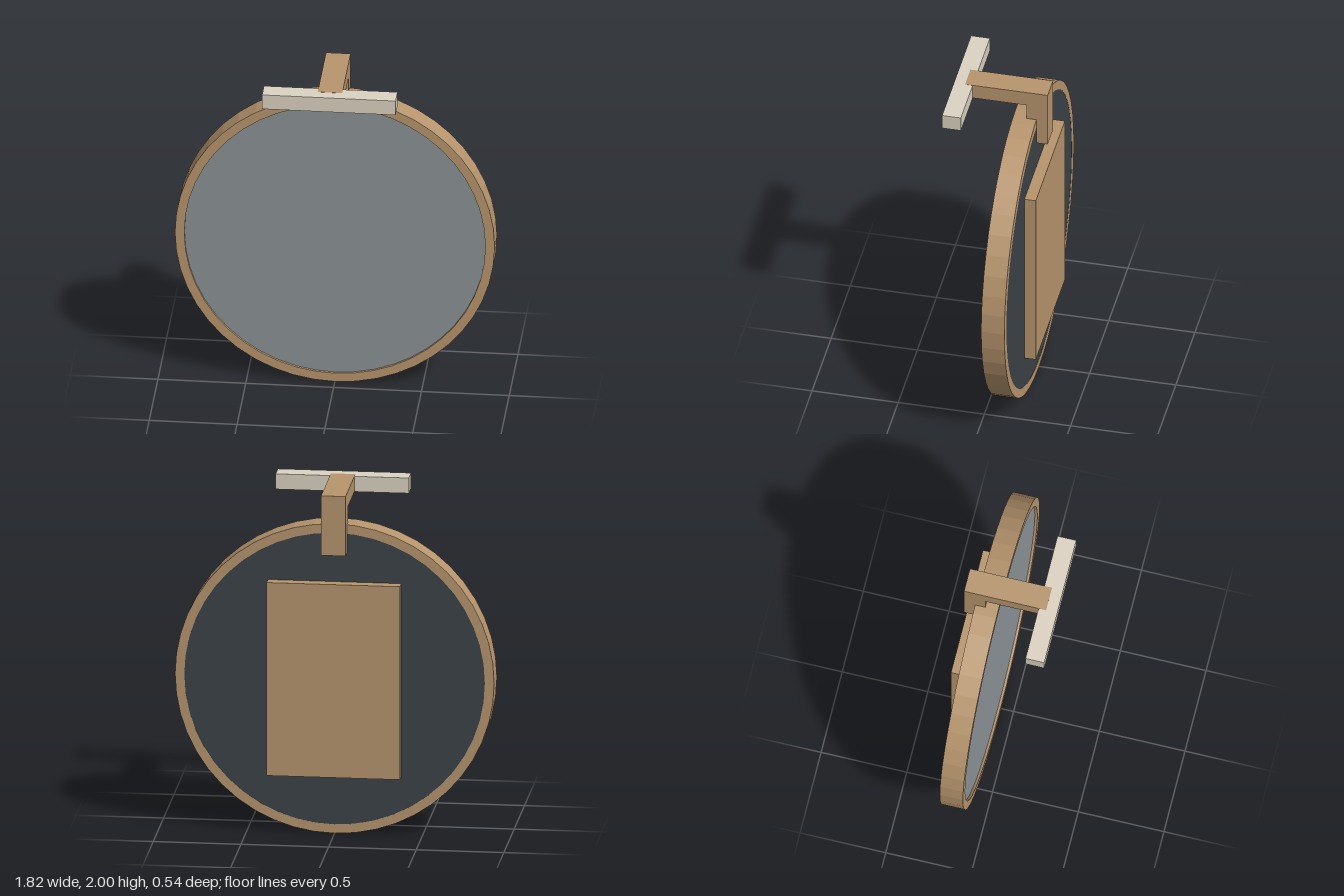
import * as THREE from 'three';

const SEGMENTS = 48;
const RADIUS = 0.91;
const INNER = 0.857;

export function createModel() {
  const model = new THREE.Group();
  model.name = 'wallMirror';

  const material = (name, color, flatShading = true) => {
    const m = new THREE.MeshStandardMaterial({ color, flatShading });
    m.name = name;
    return m;
  };
  const wood = material('wood', 0xb8966e);
  const glass = material('mirror glass', 0x8c9497);
  const backing = material('dark backing', 0x3b4348);
  const lampShade = material('lamp shade', 0xdcd3c2);

  const add = (name, geometry, mat) => {
    const mesh = new THREE.Mesh(geometry, mat);
    mesh.name = name;
    model.add(mesh);
    return mesh;
  };

  // Box given by its minimum and maximum corners
  const box = (name, mat, [x0, y0, z0], [x1, y1, z1]) =>
    add(name, new THREE.BoxGeometry(x1 - x0, y1 - y0, z1 - z0), mat)
      .position.set((x0 + x1) / 2, (y0 + y1) / 2, (z0 + z1) / 2);

  // Round disc facing z, between two depths
  const disc = (name, mat, z0, z1) => {
    const geometry = new THREE.CylinderGeometry(INNER, INNER, z1 - z0, SEGMENTS);
    geometry.rotateX(Math.PI / 2);
    add(name, geometry, mat).position.set(0, RADIUS, (z0 + z1) / 2);
  };

  // Round wooden frame
  const ring = new THREE.Shape().absarc(0, 0, RADIUS, 0, Math.PI * 2, false);
  ring.holes.push(new THREE.Path().absarc(0, 0, INNER, 0, Math.PI * 2, true));
  const frame = new THREE.ExtrudeGeometry(ring, {
    depth: 0.135, bevelEnabled: false, curveSegments: SEGMENTS / 2,
  });
  add('frame', frame, wood).position.set(0, RADIUS, -0.207);

  // Glass slightly recessed in front, backing flush behind
  disc('mirrorGlass', glass, -0.11, -0.087);
  disc('backing', backing, -0.206, -0.15);

  // Mounting plate on the back
  box('mountingPlate', wood, [-0.38, 0.345, -0.272], [0.38, 1.48, -0.2]);

  // Lamp bracket: post behind the frame and arm reaching forward
  box('lampPost', wood, [-0.07, 1.65, -0.272], [0.07, 1.91, -0.148]);
  box('lampArm', wood, [-0.07, 1.91, -0.272], [0.07, 2, 0.207]);

  // Lamp bar above the glass
  box('lampBar', lampShade, [-0.38, 1.909, 0.163], [0.38, 1.999, 0.272]);

  return model;
}
